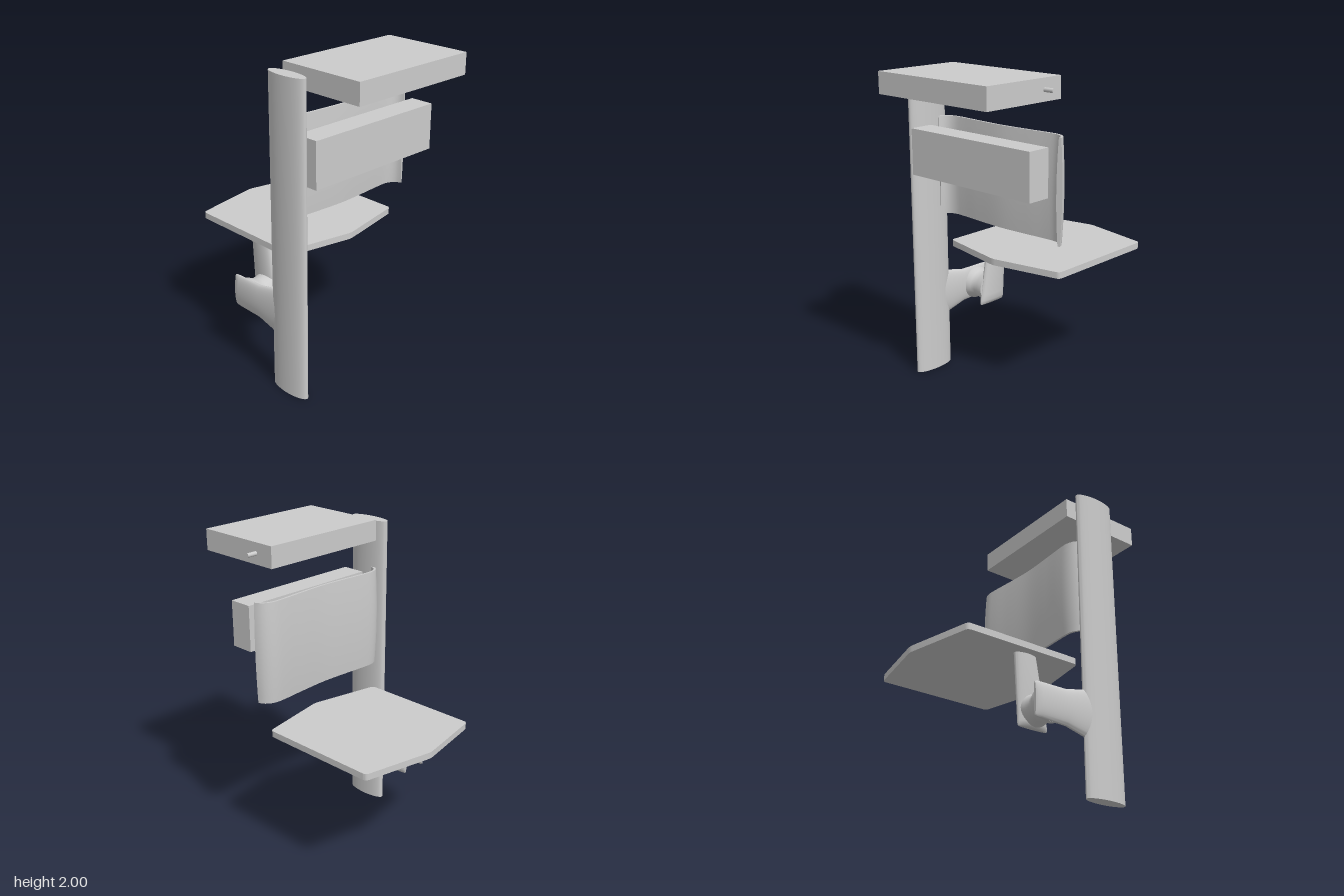
import * as THREE from 'three';
import { toCreasedNormals } from 'three/addons/utils/BufferGeometryUtils.js';

const material = new THREE.MeshStandardMaterial({ color: 0xcccccc });

function add(group, name, geometry, x = 0, y = 0, z = 0) {
  const mesh = new THREE.Mesh(geometry, material);
  mesh.name = name;
  mesh.position.set(x, y, z);
  group.add(mesh);
  return mesh;
}

// Box given by its limits on each axis
function addBlock(group, name, [x0, x1], [y0, y1], [z0, z1]) {
  add(group, name, new THREE.BoxGeometry(x1 - x0, y1 - y0, z1 - z0),
    (x0 + x1) / 2, (y0 + y1) / 2, (z0 + z1) / 2);
}

// Elliptical loft along y; sections are [y, centreX, centreZ, radiusX, radiusZ], rising
function loft(sections) {
  const n = sections.length - 1;
  const geo = new THREE.CylinderGeometry(1, 1, 1, 40, n);
  const p = geo.attributes.position;
  for (let i = 0; i < p.count; i++) {
    const [t, cx, cz, rx, rz] = sections[Math.round((p.getY(i) + 0.5) * n)];
    p.setXYZ(i, cx + p.getX(i) * rx, t, cz + p.getZ(i) * rz);
  }
  return toCreasedNormals(geo, 0.7);
}

// Curved backrest: box bent along a plan curve, thickest at mid height
function backrestGeometry() {
  const half = [[0, 0.168], [0.2, 0.158], [0.35, 0.147], [0.41, 0.147], [0.455, 0.162], [0.482, 0.188], [0.492, 0.215]];
  const centre = 0.035;
  const plan = [
    ...half.slice(1).reverse().map(([x, z]) => new THREE.Vector3(centre - x, 0, z)),
    ...half.map(([x, z]) => new THREE.Vector3(centre + x, 0, z)),
  ];
  const curve = new THREE.CatmullRomCurve3(plan);
  const geo = new THREE.BoxGeometry(1, 1, 1, 48, 14, 1);
  const p = geo.attributes.position;
  for (let i = 0; i < p.count; i++) {
    const u = p.getX(i) + 0.5, v = p.getY(i) * 2;
    const c = curve.getPointAt(u), t = curve.getTangentAt(u);
    const d = p.getZ(i) * 2 * (0.007 + 0.011 * (1 - v * v));
    p.setXYZ(i, c.x - t.z * d, 1.3625 + v * 0.3125, c.z + t.x * d);
  }
  return toCreasedNormals(geo, 0.7);
}

// Six-sided seat plate with softened corners
function seatGeometry() {
  const pts = [[0.035, -0.71], [0.49, -0.62], [0.49, 0.16], [0.035, 0.25], [-0.42, 0.16], [-0.42, -0.62]]
    .map(([x, z]) => new THREE.Vector2(x, -z));
  const shape = new THREE.Shape();
  pts.forEach((c, i) => {
    const toward = (q) => q.clone().sub(c).setLength(0.025).add(c);
    const a = toward(pts[(i + 5) % 6]), b = toward(pts[(i + 1) % 6]);
    if (i) shape.lineTo(a.x, a.y); else shape.moveTo(a.x, a.y);
    shape.quadraticCurveTo(c.x, c.y, b.x, b.y);
  });
  shape.closePath();
  const geo = new THREE.ExtrudeGeometry(shape, { depth: 0.04, bevelEnabled: false, curveSegments: 6 });
  return toCreasedNormals(geo.rotateX(-Math.PI / 2), 0.6);
}

export function createModel() {
  const model = new THREE.Group();
  model.name = 'postChair';

  // Upright post
  add(model, 'post', loft([[0, -0.495, 0.273, 0.045, 0.142], [1.975, -0.495, 0.273, 0.045, 0.142]]));

  // Top block on its pivot pin
  addBlock(model, 'topBlock', [-0.4, 0.46], [1.87, 2], [0.135, 0.71]);
  const pin = new THREE.CylinderGeometry(0.013, 0.013, 0.985, 20).rotateZ(Math.PI / 2);
  add(model, 'pivotPin', pin, 0.0325, 1.935, 0.267);

  // Front block and backrest
  addBlock(model, 'frontBlock', [-0.445, 0.51], [1.345, 1.63], [0.29, 0.442]);
  add(model, 'backrest', backrestGeometry());

  // Seat plate
  add(model, 'seat', seatGeometry(), 0, 0.83, 0);

  // Bracket arm running back from the post (lofted along z)
  const arm = loft([
    [-0.222, -0.495, -0.5, 0.01, 0.1],
    [-0.212, -0.495, -0.5, 0.021, 0.106],
    [-0.18, -0.495, -0.5, 0.026, 0.108],
    [0, -0.492, -0.499, 0.031, 0.112],
    [0.13, -0.492, -0.497, 0.034, 0.143],
    [0.22, -0.492, -0.497, 0.034, 0.148],
  ]).rotateX(Math.PI / 2);
  add(model, 'bracketArm', arm);

  // Waisted hub joining the arm to the seat support (lofted along x)
  const hub = loft([
    [-0.495, -0.495, -0.108, 0.106, 0.114],
    [-0.46, -0.495, -0.108, 0.104, 0.112],
    [-0.435, -0.495, -0.108, 0.09, 0.096],
    [-0.405, -0.495, -0.108, 0.085, 0.09],
    [-0.375, -0.495, -0.108, 0.092, 0.096],
    [-0.335, -0.495, -0.11, 0.103, 0.1],
  ]).rotateZ(-Math.PI / 2);
  add(model, 'hub', hub);

  // Leaning seat support
  add(model, 'seatSupport', loft([
    [0.39, -0.334, -0.113, 0.01, 0.1],
    [0.398, -0.334, -0.113, 0.021, 0.104],
    [0.42, -0.334, -0.114, 0.03, 0.104],
    [0.46, -0.334, -0.119, 0.034, 0.1],
    [0.83, -0.334, -0.162, 0.034, 0.077],
  ]));

  return model;
}
